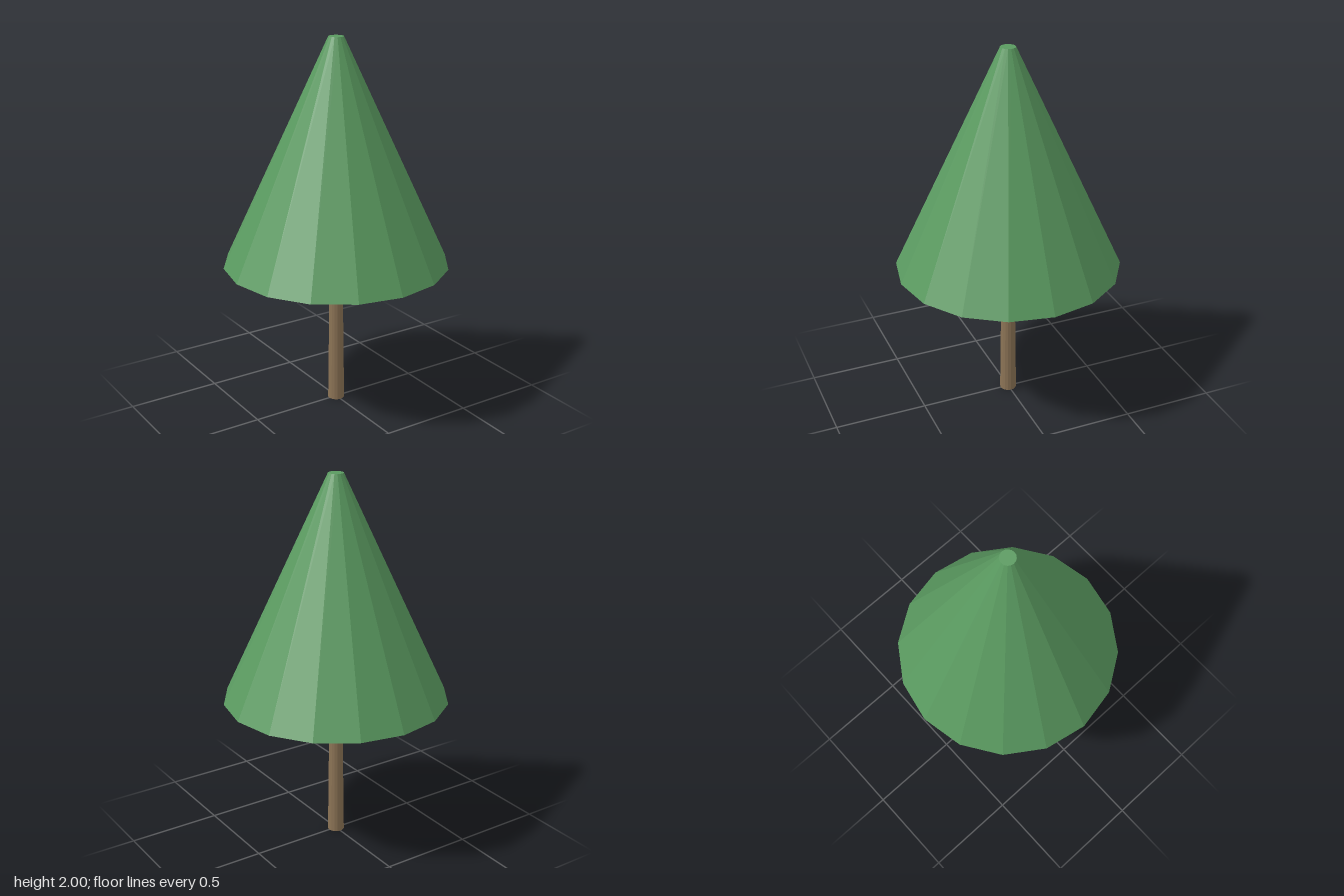
import * as THREE from 'three';

const SIDES = 16;

// Flat-shaded tapered cylinder standing between two heights
function taper(name, topRadius, bottomRadius, y0, y1, material) {
  const geometry = new THREE.CylinderGeometry(topRadius, bottomRadius, y1 - y0, SIDES).toNonIndexed();
  geometry.computeVertexNormals();
  const mesh = new THREE.Mesh(geometry, material);
  mesh.name = name;
  mesh.position.y = (y0 + y1) / 2;
  return mesh;
}

export function createModel() {
  const bark = new THREE.MeshStandardMaterial({ color: 0x8b7355 });
  bark.name = 'bark brown';
  const leaf = new THREE.MeshStandardMaterial({ color: 0x5a9a60 });
  leaf.name = 'leaf green';

  const tree = new THREE.Group();
  tree.name = 'tree';
  // Slender trunk meeting the underside of the foliage
  tree.add(taper('trunk', 0.035, 0.045, 0, 0.8, bark));
  // Faceted foliage cone with a small blunt tip
  tree.add(taper('foliage', 0.04, 0.6, 0.8, 2, leaf));
  return tree;
}
